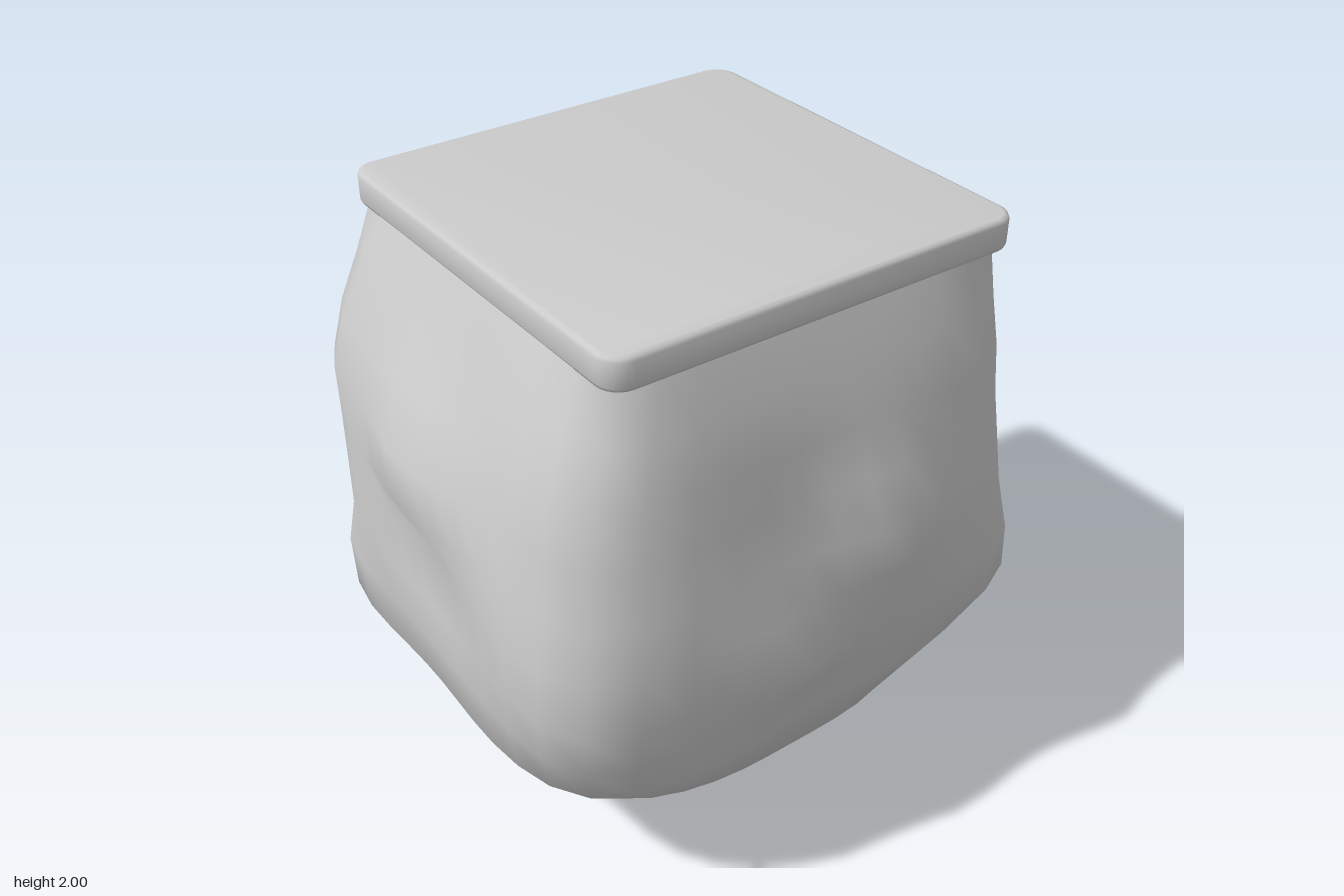
import * as THREE from 'three';
import { toCreasedNormals } from 'three/addons/utils/BufferGeometryUtils.js';

const material = new THREE.MeshStandardMaterial({ color: 0xcccccc });

// Rock levels: y, xMin, xMax, zMin, zMax, squareness
const LEVELS = [
  [1.91, -0.67, 0.71, -0.71, 0.68, 14],
  [1.74, -0.72, 0.77, -0.75, 0.76, 8],
  [1.57, -0.76, 0.81, -0.81, 0.83, 6],
  [1.40, -0.79, 0.83, -0.85, 0.87, 5],
  [1.23, -0.81, 0.86, -0.88, 0.89, 4.4],
  [1.07, -0.82, 0.87, -0.90, 0.91, 4.2],
  [0.88, -0.82, 0.87, -0.90, 0.92, 4],
  [0.71, -0.83, 0.84, -0.89, 0.91, 4],
  [0.52, -0.81, 0.81, -0.83, 0.89, 3.5],
  [0.34, -0.72, 0.74, -0.70, 0.76, 3],
  [0.17, -0.55, 0.47, -0.46, 0.62, 2.6],
  [0.06, -0.24, 0.32, -0.30, 0.34, 2.2],
  [0.00, -0.03, 0.23, -0.22, 0.08, 2],
  [0.00, 0.10, 0.10, -0.07, -0.07, 2],
];

// Bulges (positive) and hollows (negative): x, y, z, width, height, amount
const BUMPS = [
  // corners
  [0.72, 0.90, 0.76, 0.28, 0.50, 0.10],
  [0.71, 0.74, -0.74, 0.25, 0.24, 0.10],
  [-0.69, 0.95, -0.75, 0.18, 0.60, 0.09],
  [-0.69, 0.68, -0.75, 0.18, 0.18, 0.07],
  [-0.68, 0.55, 0.74, 0.28, 0.22, 0.08],
  [-0.68, 1.42, 0.72, 0.25, 0.22, 0.05],
  // right side
  [-0.82, 0.92, 0.25, 0.36, 0.50, 0.10],
  [-0.81, 0.50, 0.30, 0.32, 0.14, 0.10],
  [-0.80, 0.95, -0.42, 0.22, 0.50, -0.05],
  // left side
  [0.86, 1.20, -0.20, 0.18, 0.20, 0.08],
  [0.87, 0.88, 0.20, 0.25, 0.20, 0.08],
  [0.82, 0.55, 0.00, 0.25, 0.15, -0.03],
  // front
  [-0.02, 1.32, 0.88, 0.26, 0.18, 0.09],
  [-0.03, 1.03, 0.91, 0.22, 0.13, -0.05],
  [0.25, 0.11, 0.54, 0.25, 0.12, 0.07],
  // back
  [-0.22, 1.12, -0.89, 0.36, 0.34, 0.08],
  [0.10, 0.70, -0.89, 0.35, 0.18, 0.07],
  [0.45, 1.40, -0.85, 0.20, 0.35, -0.04],
];

function rockPoint(level, angle) {
  const [y, x0, x1, z0, z1, n] = level;
  const c = Math.cos(angle), s = Math.sin(angle);
  const r = Math.pow(Math.abs(c) ** n + Math.abs(s) ** n, -1 / n);
  const x = (x0 + x1) / 2 + (x1 - x0) / 2 * r * c;
  const z = (z0 + z1) / 2 + (z1 - z0) / 2 * r * s;
  // gentle unevenness, then the bumps, all fading out under the slab
  let push = 0.008 * Math.sin(7 * x + 4 * y) * Math.cos(6 * z - 5 * y);
  for (const [bx, by, bz, w, h, amount] of BUMPS) {
    const d = ((x - bx) ** 2 + (z - bz) ** 2) / w ** 2 + ((y - by) / h) ** 2;
    push += amount * Math.exp(-d);
  }
  push *= Math.min(1, (1.91 - y) * 4);
  const k = 1 + push / Math.max(Math.hypot(x, z), 0.5);
  return [x * k, y, z * k];
}

function rockGeometry(sides = 48) {
  const positions = [], indices = [];
  LEVELS.forEach((level, i) => {
    for (let j = 0; j < sides; j++) {
      positions.push(...rockPoint(level, j / sides * Math.PI * 2));
      if (i === LEVELS.length - 1) continue;
      const a = i * sides + j, b = i * sides + (j + 1) % sides;
      indices.push(a, b, a + sides, b, b + sides, a + sides);
    }
  });
  const geometry = new THREE.BufferGeometry();
  geometry.setAttribute('position', new THREE.Float32BufferAttribute(positions, 3));
  geometry.setIndex(indices);
  geometry.computeVertexNormals();
  return geometry;
}

// Flat square slab with rounded corners and a fine bevel
function slabGeometry(half, height, radius, bevel) {
  const q = half - bevel - radius;
  const shape = new THREE.Shape();
  for (let i = 0; i < 4; i++) {
    const a = i * Math.PI / 2;
    const cx = q * Math.SQRT2 * Math.cos(a + Math.PI / 4);
    const cy = q * Math.SQRT2 * Math.sin(a + Math.PI / 4);
    shape.absarc(cx, cy, radius, a, a + Math.PI / 2, false);
  }
  const geometry = new THREE.ExtrudeGeometry(shape, {
    depth: height - 2 * bevel, bevelEnabled: true, bevelSize: bevel,
    bevelThickness: bevel, bevelSegments: 2, curveSegments: 3,
  });
  geometry.translate(0, 0, bevel);
  geometry.rotateX(-Math.PI / 2);
  return toCreasedNormals(geometry, 0.9);
}

export function createModel() {
  const model = new THREE.Group();
  model.name = 'rockBlock';

  const rock = new THREE.Mesh(rockGeometry(), material);
  rock.name = 'rockBase';

  const slab = new THREE.Mesh(slabGeometry(0.708, 0.105, 0.06, 0.016), material);
  slab.name = 'topSlab';
  slab.position.set(0.02, 1.895, -0.022);

  model.add(rock, slab);
  return model;
}
